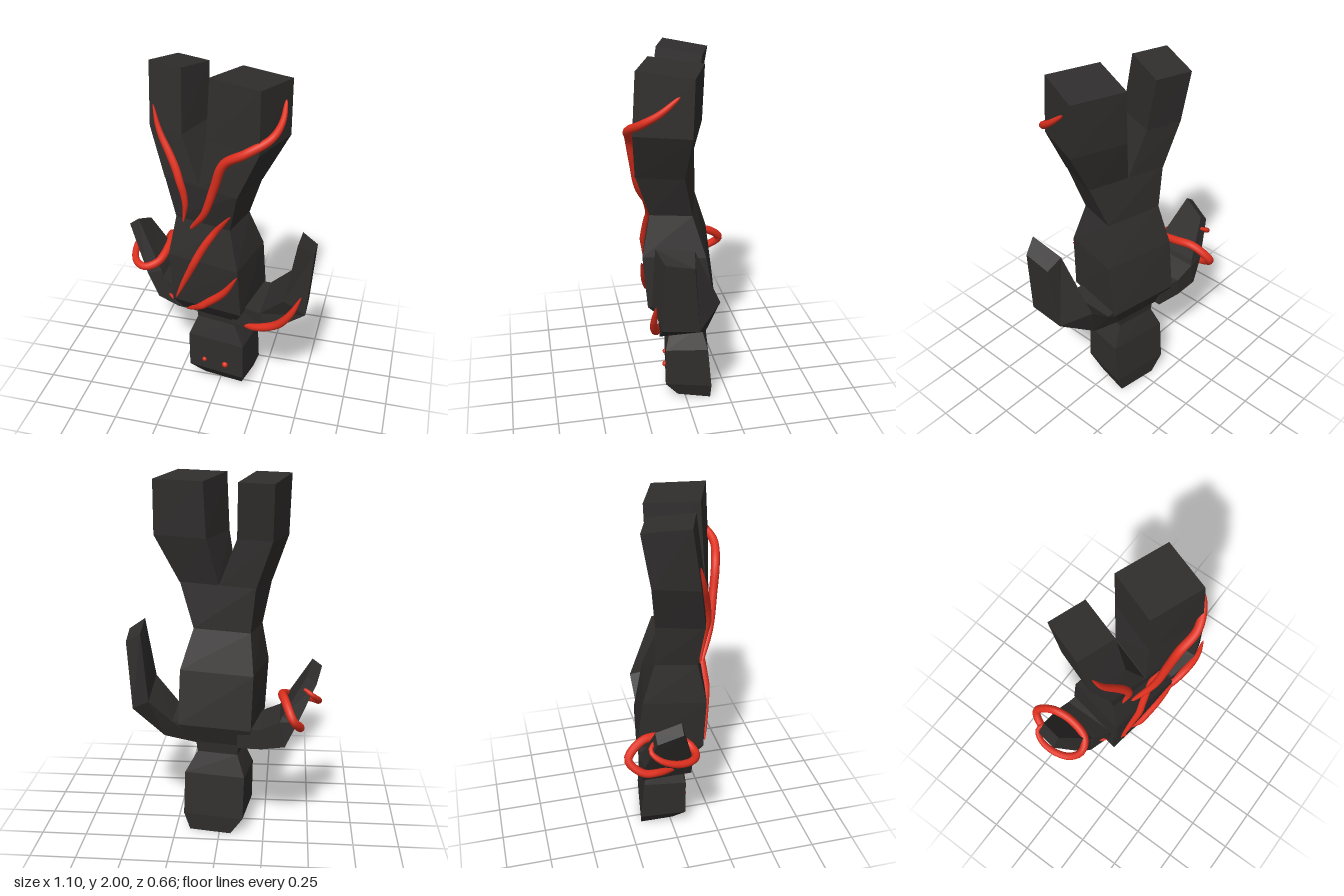
import * as THREE from 'three';

const dark = new THREE.MeshStandardMaterial({ color: 0x302e2d, flatShading: true });
const red = new THREE.MeshStandardMaterial({ color: 0xe0301e });
const V = (x, y, z) => new THREE.Vector3(x, y, z);

// Closed, faceted solid through a list of four-cornered rings
function loft(name, rings) {
  const pos = [];
  const quad = (a, b, c, d) => [a, b, c, a, c, d].forEach(p => pos.push(p.x, p.y, p.z));
  for (let k = 0; k < rings.length - 1; k++) {
    const r = rings[k], s = rings[k + 1];
    for (let i = 0; i < 4; i++) {
      const j = (i + 1) % 4;
      quad(r[i], r[j], s[j], s[i]);
    }
  }
  quad(...[...rings[0]].reverse());
  quad(...rings[rings.length - 1]);
  const g = new THREE.BufferGeometry();
  g.setAttribute('position', new THREE.Float32BufferAttribute(pos, 3));
  g.computeVertexNormals();
  const mesh = new THREE.Mesh(g, dark);
  mesh.name = name;
  return mesh;
}

const corners = [[-1, 1], [1, 1], [1, -1], [-1, -1]];

// Level ring: height, centre, half width, half depth, turn in degrees, drop of the back edge
function level([y, cx, cz, a, b, deg, drop = 0]) {
  const c = Math.cos(deg * Math.PI / 180), s = Math.sin(deg * Math.PI / 180);
  return corners.map(([p, q]) =>
    V(cx + p * a * c - q * b * s, y - (q < 0 ? drop : 0), cz + p * a * s + q * b * c));
}

// Arm ring: centre, path direction in degrees, half thickness, half depth,
// narrowing and z shift across the thickness, x skew, drop of the back edge
function across([x, y, z, deg, t, d, narrow = 0, shift = 0, skew = 0, drop = 0]) {
  const c = Math.cos(deg * Math.PI / 180), s = Math.sin(deg * Math.PI / 180);
  return corners.map(([p, q]) => V(
    x + p * t * s + (q < 0 ? skew : 0),
    y - p * t * c - (q < 0 ? drop : 0),
    z + q * d * (1 - narrow * p) + p * shift));
}

// Tube whose ends run to points; a lower power keeps it thick for longer
function vein(name, points, radius, power) {
  const curve = new THREE.CatmullRomCurve3(points);
  const n = 64, sides = 10;
  const g = new THREE.TubeGeometry(curve, n, radius, sides);
  const pos = g.attributes.position, v = V(0, 0, 0);
  for (let i = 0; i <= n; i++) {
    const centre = curve.getPointAt(i / n);
    const f = Math.max(0.02, Math.pow(Math.max(0, Math.sin(Math.PI * i / n)), power));
    for (let j = 0; j <= sides; j++) {
      const k = i * (sides + 1) + j;
      v.fromBufferAttribute(pos, k).sub(centre).multiplyScalar(f).add(centre);
      pos.setXYZ(k, v.x, v.y, v.z);
    }
  }
  const mesh = new THREE.Mesh(g, red);
  mesh.name = name;
  return mesh;
}

export function createModel() {
  const model = new THREE.Group();
  const body = new THREE.Group();
  body.name = 'body';
  model.add(body);

  // Upside-down figure: head at the bottom, legs at the top
  body.add(
    loft('head', [
      [0.03, 0.038, -0.065, 0.118, 0.095, 9, 0.025],
      [0.125, 0.015, -0.035, 0.17, 0.132, 9, 0.02],
      [0.35, 0.01, -0.025, 0.17, 0.12, 9],
      [0.47, 0.0, -0.025, 0.115, 0.085, 10],
      [0.58, 0.0, -0.025, 0.125, 0.095, 10]].map(level)),
    loft('torso', [
      [0.54, -0.02, -0.02, 0.16, 0.12, 10],
      [0.65, -0.005, 0, 0.205, 0.185, 10],
      [0.95, -0.018, 0.03, 0.207, 0.171, 12],
      [1.17, -0.035, 0.04, 0.162, 0.114, 14],
      [1.42, -0.02, 0.08, 0.221, 0.128, 18]].map(level)),
    loft('rightLeg', [
      [1.41, -0.129, 0.044, 0.106, 0.128, 18],
      [1.67, -0.222, 0, 0.1, 0.122, 19],
      [2.0, -0.23, -0.05, 0.1, 0.122, 20, 0.035]].map(level)),
    loft('leftLeg', [
      [1.41, 0.08, 0.113, 0.115, 0.128, 18],
      [1.67, 0.168, 0.1, 0.155, 0.15, 20],
      [1.99, 0.173, 0.085, 0.148, 0.145, 21, 0.025]].map(level)),
    loft('leftArm', [
      [0.1, 0.6, 0.01, 0, 0.07, 0.13],
      [0.29, 0.605, 0.04, 25, 0.06, 0.14, 0.1, 0.015],
      [0.46, 0.755, 0.075, 50, 0.075, 0.14, 0.3, 0.025, -0.01, 0.03],
      [0.502, 1.125, 0.115, 58, 0.05, 0.088, 0.15, -0.005, -0.005, 0.035]].map(across)),
    loft('rightArm', [
      [-0.1, 0.6, -0.05, 180, 0.06, 0.14],
      [-0.23, 0.605, -0.07, 175, 0.055, 0.15],
      [-0.345, 0.645, -0.095, 168, 0.073, 0.14],
      [-0.385, 0.73, -0.095, 110, 0.045, 0.13],
      [-0.525, 1.0, -0.115, 127, 0.033, 0.065, 0, 0, 0.03, 0.06]].map(across)));

  // Front surface of the body at a given x and y
  const ray = new THREE.Raycaster();
  const surface = (x, y, fallback) => {
    ray.set(V(x, y, 2), V(0, 0, -1));
    const hit = ray.intersectObject(body, true)[0];
    return hit ? hit.point.z : fallback;
  };

  // Veins lying on the front of the body
  const flatVeins = {
    rightLegVein: [[-0.335, 1.79], [-0.3, 1.67], [-0.2, 1.48], [-0.155, 1.3], [-0.175, 1.15]],
    upperTorsoVein: [[-0.22, 0.67], [-0.15, 0.83], [-0.04, 1.06], [0.11, 1.28]],
    lowerTorsoVein: [[-0.18, 0.55], [-0.05, 0.67], [0.07, 0.79], [0.15, 0.92]],
  };
  for (const [name, pts] of Object.entries(flatVeins)) {
    const path = new THREE.CatmullRomCurve3(pts.map(([x, y]) => V(x, y, 0)));
    let z = 0.08;
    const points = path.getPoints(10).map(p => {
      z = surface(p.x, p.y, z);
      return V(p.x, p.y, z + 0.008);
    });
    model.add(vein(name, points, 0.022, 0.6));
  }

  // Free-running veins: one wraps the left leg, one the left arm, one coils round the right arm
  const freeVeins = {
    leftLegVein: [[-0.13, 1.13, 0.16], [-0.03, 1.28, 0.23], [0.03, 1.45, 0.26], [0.085, 1.6, 0.285],
      [0.2, 1.68, 0.305], [0.31, 1.745, 0.25], [0.345, 1.8, 0.17], [0.345, 1.88, 0.07]],
    leftArmVein: [[0.1, 0.515, 0.07], [0.22, 0.55, 0.165], [0.36, 0.62, 0.21],
      [0.44, 0.72, 0.23], [0.495, 0.84, 0.225]],
    rightArmCoil: [[-0.26, 0.6, 0.09], [-0.35, 0.63, -0.03], [-0.43, 0.67, -0.15], [-0.44, 0.69, -0.24],
      [-0.4, 0.76, -0.31], [-0.355, 0.84, -0.22], [-0.34, 0.83, -0.1], [-0.37, 0.79, 0.015],
      [-0.44, 0.765, 0.045], [-0.5, 0.77, 0.01], [-0.535, 0.79, -0.08], [-0.53, 0.83, -0.17],
      [-0.495, 0.87, -0.21], [-0.44, 0.9, -0.17]],
  };
  for (const [name, pts] of Object.entries(freeVeins))
    model.add(vein(name, pts.map(p => V(...p)), 0.024, name === 'leftArmVein' ? 0.6 : 0.35));

  // Eyes
  for (const [name, x, r] of [['rightEye', -0.08, 0.014], ['leftEye', 0.05, 0.018]]) {
    const eye = new THREE.Mesh(new THREE.SphereGeometry(r, 16, 12), red);
    eye.name = name;
    eye.position.set(x, 0.19, surface(x, 0.19, 0.09));
    model.add(eye);
  }
  return model;
}
